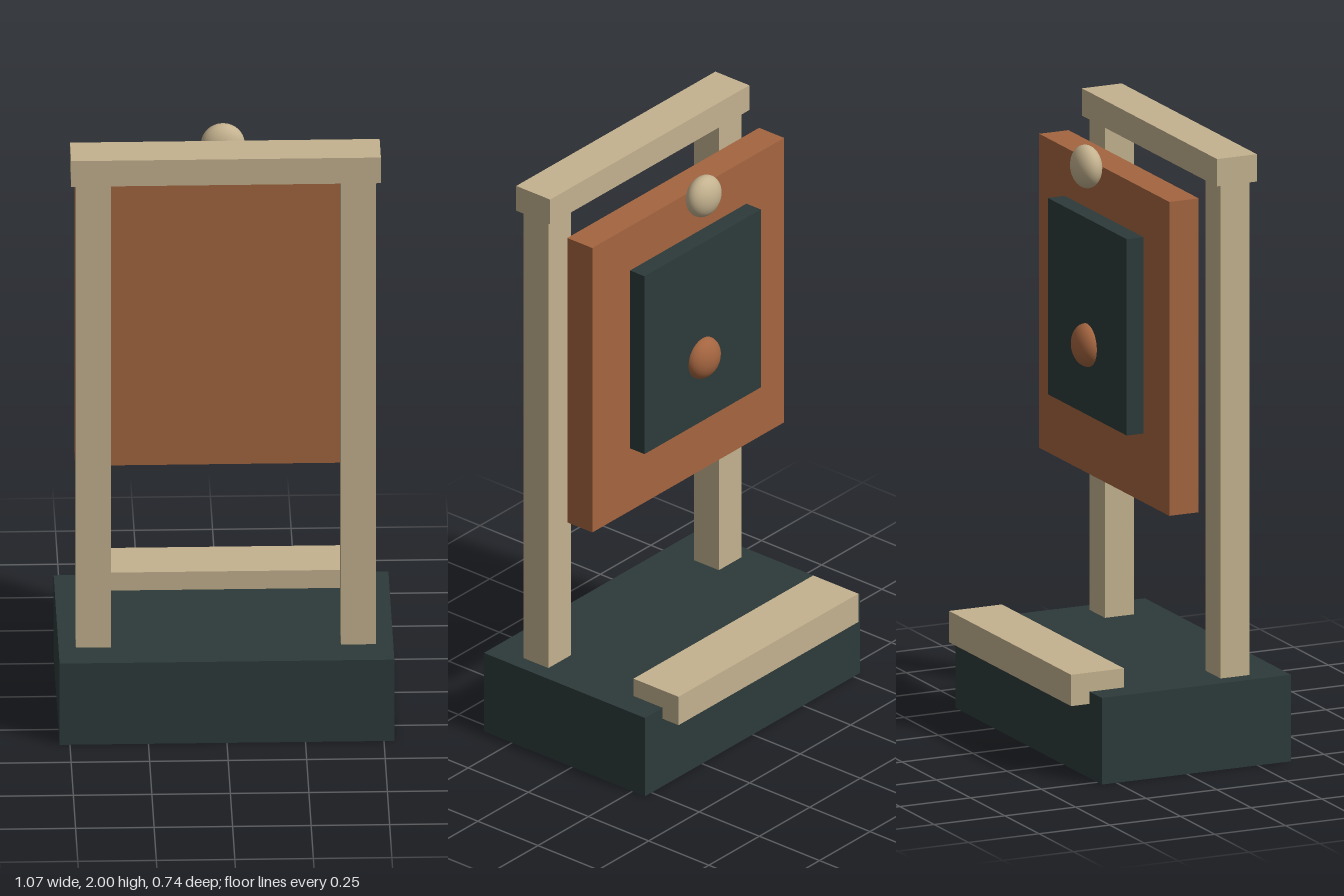
import * as THREE from 'three';

export function createModel() {
  const model = new THREE.Group();
  model.name = 'gongStand';

  const material = (name, color) => {
    const m = new THREE.MeshStandardMaterial({ color });
    m.name = name;
    return m;
  };
  const slate = material('dark slate', 0x2d3a3a);
  const wood = material('pale wood', 0xc4b28f);
  const copper = material('copper', 0xa46540);

  const add = (name, geometry, mat, x, y, z) => {
    const mesh = new THREE.Mesh(geometry, mat);
    mesh.name = name;
    mesh.position.set(x, y, z);
    model.add(mesh);
    return mesh;
  };
  // Box given by its extents along each axis
  const box = (name, mat, [x0, x1], [y0, y1], [z0, z1]) =>
    add(name, new THREE.BoxGeometry(x1 - x0, y1 - y0, z1 - z0), mat,
      (x0 + x1) / 2, (y0 + y1) / 2, (z0 + z1) / 2);

  // Plinth and the ledge overhanging its back edge
  box('base', slate, [-0.533, 0.533], [0, 0.285], [-0.302, 0.367]);
  box('backLedge', wood, [-0.445, 0.445], [0.245, 0.348], [-0.368, -0.181]);

  // Frame: two posts and a crossbeam
  for (const [name, x] of [['leftPost', 0.422], ['rightPost', -0.422]]) {
    box(name, wood, [x - 0.056, x + 0.056], [0.285, 1.91], [0.145, 0.248]);
  }
  box('crossbeam', wood, [-0.493, 0.493], [1.91, 2], [0.125, 0.266]);

  // Large panel with a smaller plate on its back
  box('panel', copper, [-0.475, 0.475], [0.84, 1.873], [-0.035, 0.069]);
  box('backPlate', slate, [-0.288, 0.288], [1.067, 1.713], [-0.095, -0.035]);

  // Flattened round knobs
  const knob = new THREE.SphereGeometry(0.07, 32, 24).scale(1, 1, 0.66);
  add('topKnob', knob, wood, 0, 1.885, -0.099);
  add('plateKnob', knob, copper, 0, 1.297, -0.096);

  return model;
}
